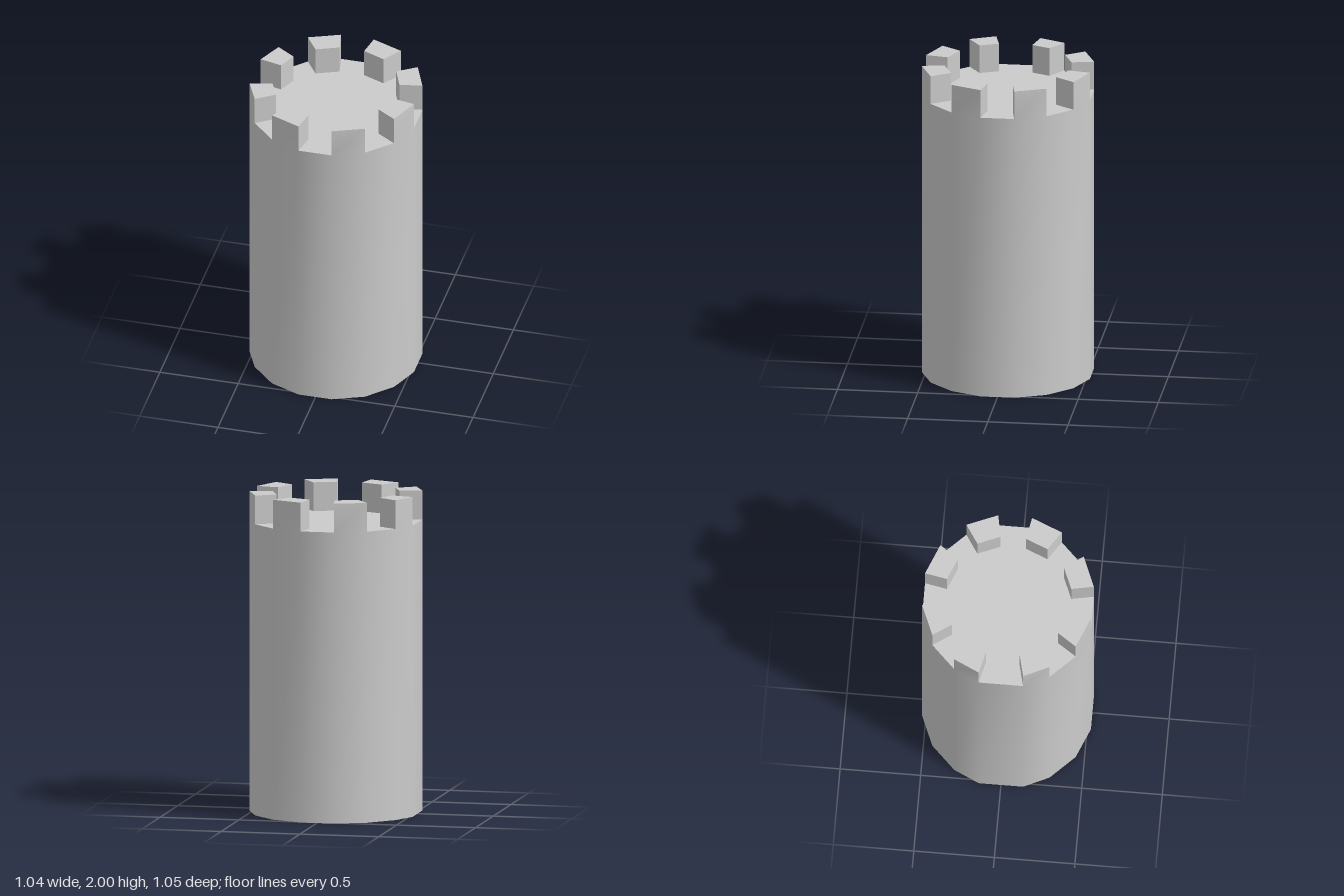
import * as THREE from 'three';

const HEIGHT = 2, DECK = 1.82;

// Half outlines (x, z) of the slightly uneven 16-sided plan, mirrored in z
const mirrorZ = half => [...half, ...half.map(([x, z]) => [x, -z]).reverse()];
const outer = mirrorZ([
  [0.521, 0.105], [0.442, 0.296], [0.295, 0.445], [0.102, 0.524],
  [-0.108, 0.524], [-0.299, 0.445], [-0.447, 0.296], [-0.521, 0.138],
]);
const inner = mirrorZ([
  [0.381, 0.078], [0.324, 0.218], [0.214, 0.328], [0.076, 0.386],
  [-0.081, 0.386], [-0.22, 0.328], [-0.332, 0.218], [-0.382, 0.104],
]);
const N = outer.length;

const material = new THREE.MeshStandardMaterial({ color: 0xcccccc, side: THREE.DoubleSide });

function addMesh(group, name, geometry) {
  const mesh = new THREE.Mesh(geometry, material);
  mesh.name = name;
  group.add(mesh);
}

// Smooth outer skin, open below; every second side rises to form a merlon face
function wallGeometry() {
  const positions = [], index = [];
  for (const y of [0, DECK, HEIGHT]) {
    for (const [x, z] of outer) positions.push(x, y, z);
  }
  for (let i = 0; i < N; i++) {
    const j = (i + 1) % N;
    for (let ring = 0; ring < (i % 2 === 0 ? 2 : 1); ring++) {
      const a = ring * N + i, b = ring * N + j;
      index.push(b, a, a + N, b, a + N, b + N);
    }
  }
  const g = new THREE.BufferGeometry();
  g.setAttribute('position', new THREE.Float32BufferAttribute(positions, 3));
  g.setIndex(index);
  g.computeVertexNormals();
  return g;
}

// Flat sides, back and top of one merlon (its front belongs to the wall)
function merlonGeometry(i) {
  const loop = [outer[i + 1], outer[i], inner[i], inner[i + 1]];
  const low = loop.map(([x, z]) => [x, DECK, z]);
  const high = loop.map(([x, z]) => [x, HEIGHT, z]);
  const positions = [];
  const quad = (a, b, c, d) => positions.push(...a, ...b, ...c, ...a, ...c, ...d);
  for (let k = 1; k < 4; k++) {
    const n = (k + 1) % 4;
    quad(low[k], low[n], high[n], high[k]);
  }
  quad(...high);
  const g = new THREE.BufferGeometry();
  g.setAttribute('position', new THREE.Float32BufferAttribute(positions, 3));
  g.computeVertexNormals();
  return g;
}

export function createModel() {
  const tower = new THREE.Group();
  tower.name = 'tower';

  addMesh(tower, 'wall', wallGeometry());

  // Flat deck between the merlons
  const plan = new THREE.Shape(outer.map(([x, z]) => new THREE.Vector2(x, -z)));
  addMesh(tower, 'deck', new THREE.ShapeGeometry(plan).rotateX(-Math.PI / 2).translate(0, DECK, 0));

  // Eight merlons
  for (let i = 0; i < N; i += 2) addMesh(tower, `merlon${i / 2 + 1}`, merlonGeometry(i));

  return tower;
}
